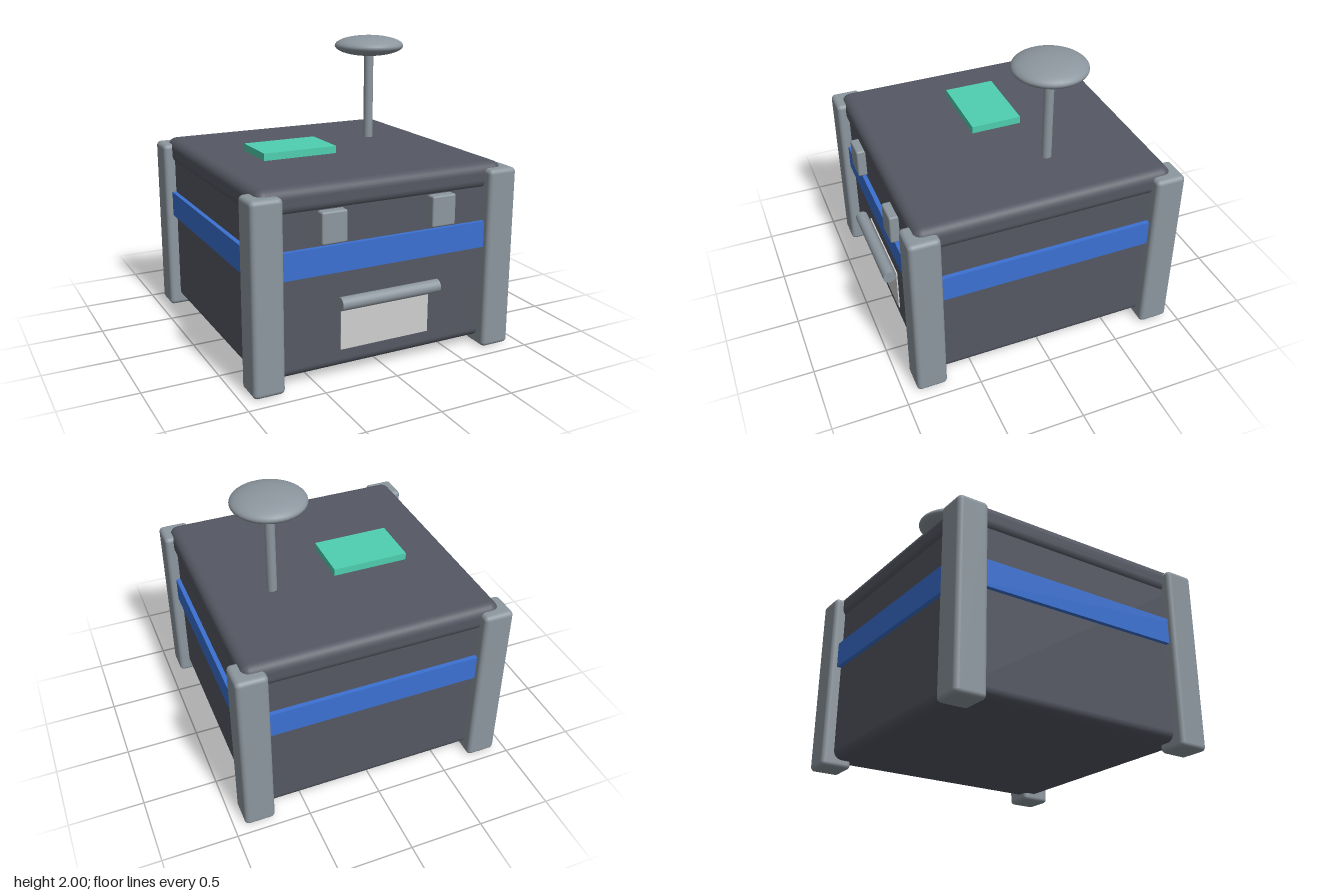
import * as THREE from 'three';
import { RoundedBoxGeometry } from 'three/addons/geometries/RoundedBoxGeometry.js';

const material = (name, color) => {
  const m = new THREE.MeshStandardMaterial({ color });
  m.name = name;
  return m;
};

export function createModel() {
  const shell = material('dark shell', 0x555863);
  const metal = material('grey metal', 0x8d979f);
  const blue = material('blue stripe', 0x3b71d3);
  const green = material('green panel', 0x4fd0b0);
  const pale = material('pale label', 0xd0cfd0);

  const group = new THREE.Group();
  const add = (name, geometry, mat, x, y, z) => {
    const mesh = new THREE.Mesh(geometry, mat);
    mesh.name = name;
    mesh.position.set(x, y, z);
    group.add(mesh);
    return mesh;
  };
  const box = (w, h, d) => new THREE.BoxGeometry(w, h, d);
  const rounded = (w, h, d, r) => new RoundedBoxGeometry(w, h, d, 4, r);
  const midZ = -0.017; // centre of the crate itself

  // Crate, lid and the stripe around it
  add('crateBody', rounded(1.7, 1.11, 1.7, 0.06), shell, 0, 0.61, midZ);
  add('lid', rounded(1.735, 0.175, 1.735, 0.065), shell, 0, 1.175, midZ);
  add('stripe', box(1.76, 0.175, 1.76), blue, 0, 0.791, midZ);

  // Corner posts and latches, mirrored left and right
  for (const side of [-1, 1]) {
    const label = side > 0 ? 'left' : 'right';
    for (const end of [-1, 1]) {
      add(`${label}${end > 0 ? 'Front' : 'Back'}Post`, rounded(0.206, 1.225, 0.206, 0.03),
        metal, side * 0.823, 0.615, midZ + end * 0.823);
    }
    add(`${label}Latch`, rounded(0.172, 0.203, 0.07, 0.012), metal, side * 0.385, 1.002, 0.86);
  }

  // Front label with the handle bar above it
  add('label', box(0.634, 0.32, 0.009), pale, 0, 0.34, 0.837);
  add('handle', new THREE.CylinderGeometry(0.043, 0.043, 0.7, 24), metal, 0, 0.51, 0.895)
    .rotation.z = Math.PI / 2;

  // Panel and dish on top of the lid
  add('topPanel', box(0.524, 0.06, 0.348), green, -0.263, 1.282, -0.018);
  add('dishPole', new THREE.CylinderGeometry(0.033, 0.033, 0.62, 24), metal, 0.435, 1.583, -0.188);
  add('dish', new THREE.SphereGeometry(0.242, 40, 24), metal, 0.435, 1.93, -0.188)
    .scale.y = 0.29;

  return group;
}
